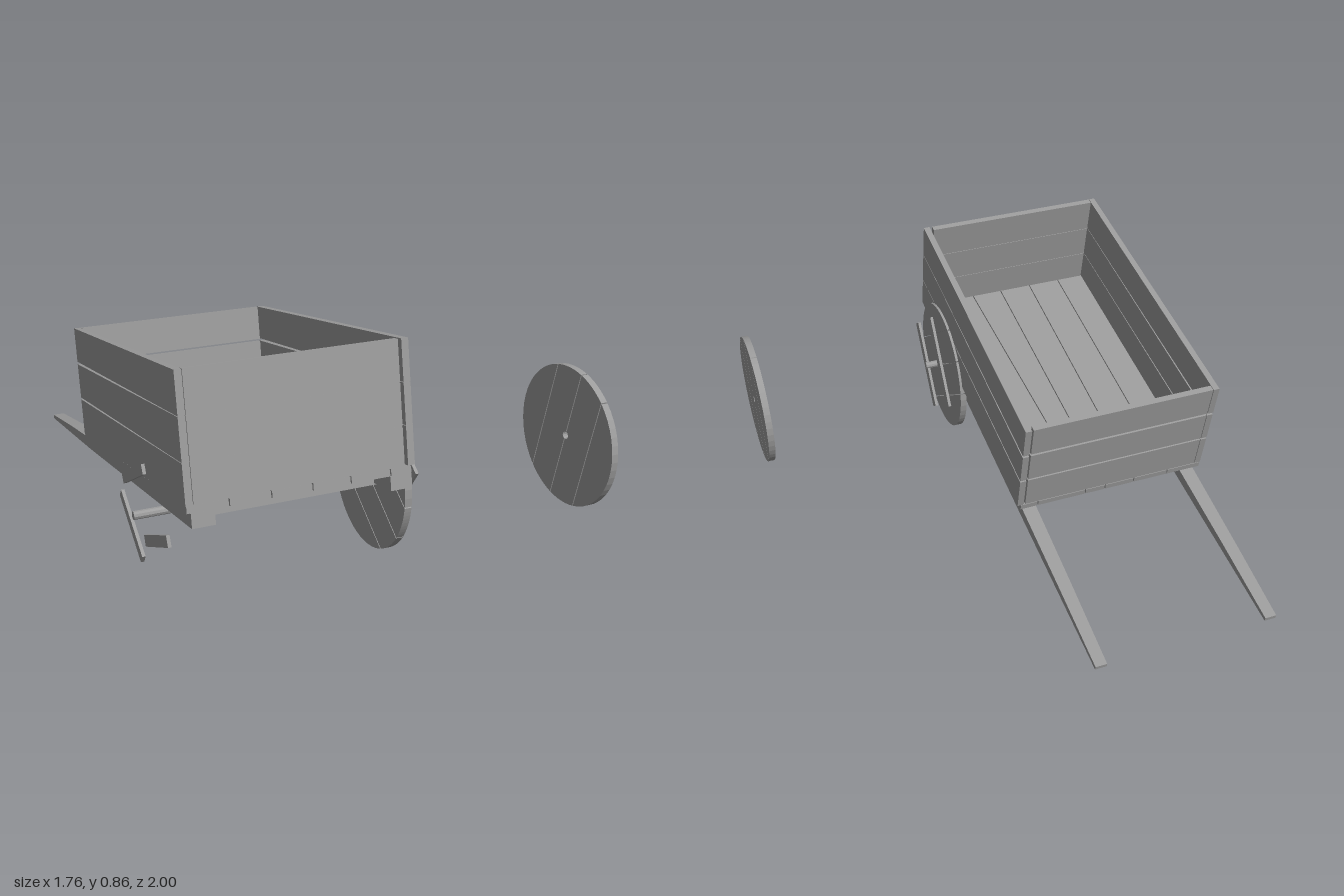
import * as THREE from 'three';

const mat = new THREE.MeshStandardMaterial({ color: 0x9d9d9d, flatShading: true });

function add(parent, name, geometry) {
  const mesh = new THREE.Mesh(geometry, mat);
  mesh.name = name;
  parent.add(mesh);
  return mesh;
}

// extrude a flat outline of [x, y] points
function slab(points, depth) {
  const shape = new THREE.Shape(points.map(([x, y]) => new THREE.Vector2(x, y)));
  return new THREE.ExtrudeGeometry(shape, { depth, bevelEnabled: false });
}
// outline given as [z, y], thickness from x0 to x1
const sideSlab = (pts, x0, x1) =>
  slab(pts.map(([z, y]) => [-z, y]), x1 - x0).rotateY(Math.PI / 2).translate(x0, 0, 0);
// outline given as [x, z], thickness from y0 to y1
const floorSlab = (pts, y0, y1) =>
  slab(pts.map(([x, z]) => [x, -z]), y1 - y0).rotateX(-Math.PI / 2).translate(0, y0, 0);

// box given by its limits
function block(x0, x1, y0, y1, z0, z1) {
  return new THREE.BoxGeometry(x1 - x0, y1 - y0, z1 - z0)
    .translate((x0 + x1) / 2, (y0 + y1) / 2, (z0 + z1) / 2);
}

// plank of a disc wheel: the strip a < x < b of a circle, notched round the axle hole
function wheelPlank(a, b, r, thick) {
  const pts = [], n = 9, hole = 0.017;
  const t0 = Math.acos(Math.min(1, b / r)), t1 = Math.acos(Math.max(-1, a / r));
  const arc = (from, to, radius, steps) => {
    for (let i = 0; i <= steps; i++) {
      const t = from + (to - from) * i / steps;
      pts.push([radius * Math.cos(t), radius * Math.sin(t)]);
    }
  };
  arc(t0, t1, r, n);
  if (Math.abs(a) < hole) arc(Math.acos(a / hole), -Math.acos(a / hole), hole, 6);
  arc(-t1, -t0, r, n);
  if (Math.abs(b) < hole) arc(-Math.acos(b / hole), Math.acos(b / hole) - 2 * Math.PI, hole, 6);
  const clean = pts.filter((p, i) => {
    const q = pts[(i + 1) % pts.length];
    return Math.hypot(p[0] - q[0], p[1] - q[1]) > 1e-5;
  });
  return slab(clean, thick).translate(0, 0, -thick / 2);
}

// four-plank wheel; the planks are a little short along their grain
function makeWheel(name, x, y, z, r, turn) {
  const wheel = new THREE.Group(), disc = new THREE.Group();
  wheel.name = name;
  const cuts = [-r, -0.142, 0, 0.142, r], gap = 0.002;
  for (let i = 0; i < 4; i++)
    add(disc, 'wheelPlank', wheelPlank(cuts[i] + (i ? gap : 0), cuts[i + 1] - (i < 3 ? gap : 0), r, 0.027)
      .scale(1, 0.96, 1));
  disc.rotation.z = turn;
  wheel.add(disc);
  wheel.rotation.y = Math.PI / 2;
  wheel.position.set(x, y, z);
  return wheel;
}

// batten lying in the plane of a wheel, from [z, y] to [z, y]
function batten(parent, x, from, to, width) {
  const dz = to[0] - from[0], dy = to[1] - from[1];
  const m = add(parent, 'wheelBatten', new THREE.BoxGeometry(0.012, width, Math.hypot(dz, dy)));
  m.position.set(x, (from[1] + to[1]) / 2, (from[0] + to[0]) / 2);
  m.rotation.x = -Math.atan2(dy, dz);
}

export function createModel() {
  const model = new THREE.Group();
  model.name = 'brokenCart';

  // tilted body, with its origin at the axle
  const body = new THREE.Group();
  body.name = 'cartBody';
  body.position.set(-0.39, 0.285, 0.69);
  body.rotation.x = -Math.PI / 18;
  model.add(body);
  const front = 0.317, rear = -0.955;

  // three rows of wall planks: [bottom front, top front, bottom rear, top rear]
  const rows = [
    [0.092, 0.228, 0.092, 0.237],
    [0.230, 0.375, 0.245, 0.381],
    [0.377, 0.523, 0.391, 0.526],
  ];
  for (const [bf, tf, br, tr] of rows) {
    const outline = [[front, bf], [front, tf], [rear, tr], [rear, br]];
    add(body, 'rightSidePlank', sideSlab(outline, -0.405, -0.38));
    add(body, 'leftSidePlank', sideSlab(outline, 0.382, 0.408));
    add(body, 'frontPlank', block(-0.378, 0.37, bf, tf, front - 0.026, front - 0.001));
    add(body, 'rearPlank', block(-0.378, 0.375, br, tr, rear + 0.001, rear + 0.026));
  }

  // floor planks between uneven seams: [x at front, x at rear]
  const seams = [[-0.405, -0.405], [-0.26, -0.255], [-0.115, -0.103],
    [0.03, 0.025], [0.168, 0.112], [0.315, 0.32], [0.395, 0.395]];
  for (let i = 0; i < 6; i++) {
    const [a, b] = seams[i], [c, d] = seams[i + 1], g = 0.002;
    add(body, 'floorPlank', floorSlab(
      [[a + g, front], [c - g, front], [d - g, rear], [b + g, rear]], 0.066, 0.09));
  }

  // long shafts ending in tapered handles
  const shaft = [[front, 0.015], [front, 0.064], [-0.95, 0.064], [-1.35, 0.056],
    [-1.71, 0.044], [-1.71, 0.028], [-1.0, 0.017]];
  for (const x of [-0.35, 0.353]) {
    const geo = sideSlab(shaft, -0.04, 0.04), p = geo.attributes.position;
    for (let i = 0; i < p.count; i++) {
      const t = (front - p.getZ(i)) / (front + 1.71);
      p.setX(i, p.getX(i) * (1 - 0.42 * t) + x + 0.005 * t);
    }
    geo.computeVertexNormals();
    add(body, 'shaft', geo);
  }

  // cross beams under the floor
  for (const z of [0.19, -0.31])
    add(body, 'crossBeam', block(-0.325, 0.325, 0.009, 0.064, z - 0.09, z));

  // axle
  const axle = add(model, 'axle', new THREE.CylinderGeometry(0.015, 0.015, 0.98, 10).rotateZ(Math.PI / 2));
  axle.position.set(-0.39, 0.285, 0.69);

  // one wheel still on the axle, one standing apart
  model.add(makeWheel('mountedWheel', 0.015, 0.278, 0.683, 0.282, -0.95));
  model.add(makeWheel('detachedWheel', 0.865, 0.292, 0.692, 0.286, 0.25));

  // battens of the mounted wheel
  batten(model, 0.065, [0.905, 0.375], [0.675, 0.06], 0.045);
  batten(model, 0.065, [0.705, 0.525], [0.47, 0.20], 0.045);

  // loose battens at the bare end of the axle
  batten(model, -0.84, [0.70, 0.19], [0.945, 0.30], 0.04);
  batten(model, -0.84, [0.42, 0.25], [0.65, 0.095], 0.035);
  batten(model, -0.84, [0.46, 0.32], [0.70, 0.45], 0.035);

  return model;
}
